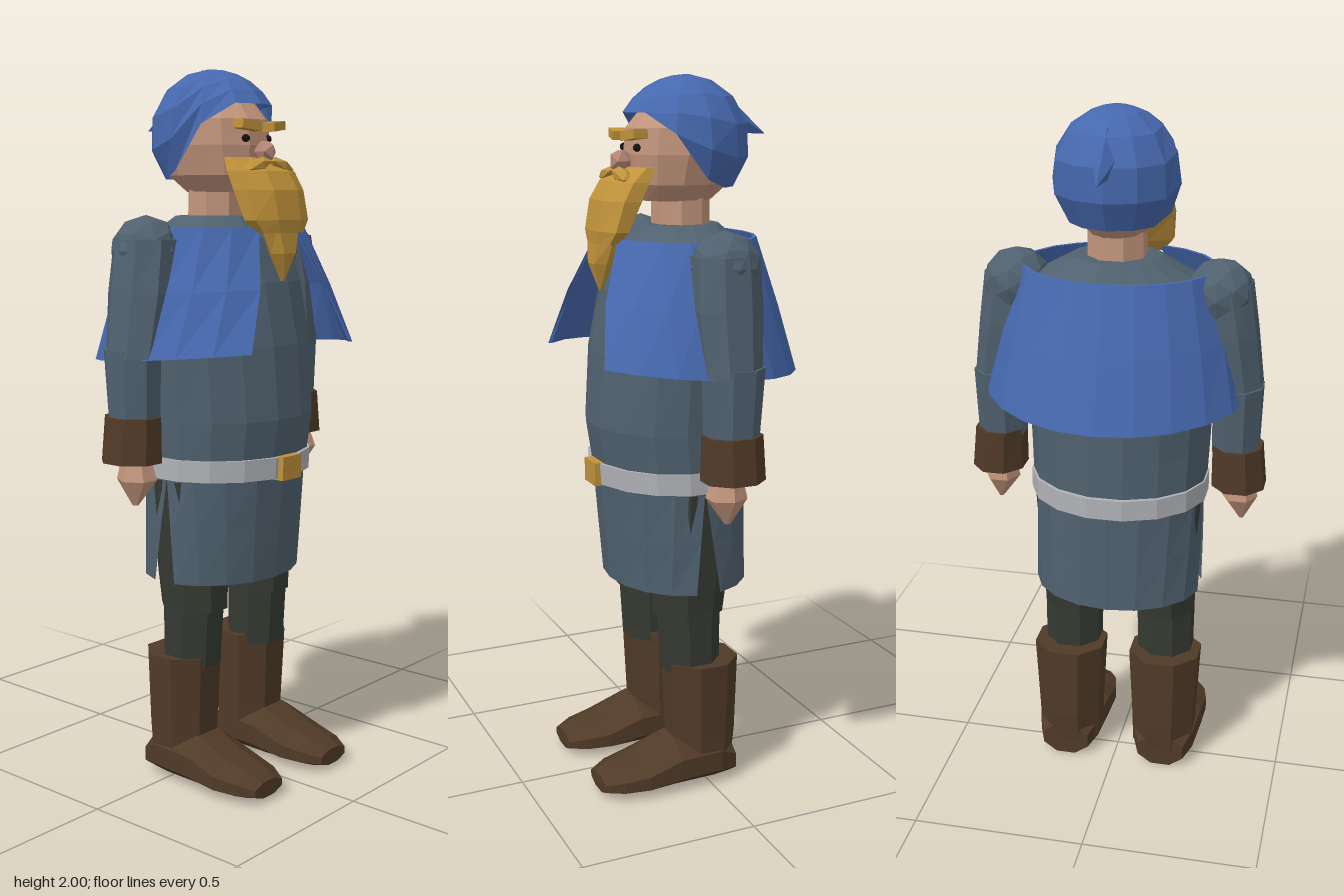
import * as THREE from 'three';

const mat = (name, color, side = THREE.FrontSide) =>
  Object.assign(new THREE.MeshStandardMaterial({ color, flatShading: true, side }), { name });

// One ring of points around the y axis; 'flat' turns a face (not a corner) to the front
function ring(y, rx, rz, cx = 0, cz = 0, n = 8, flat = true) {
  const k = flat ? 1 / Math.cos(Math.PI / n) : 1;
  return Array.from({ length: n }, (_, i) => {
    const a = ((i + (flat ? 0.5 : 0)) / n) * Math.PI * 2;
    return [cx + Math.sin(a) * rx * k, y, cz + Math.cos(a) * rz * k];
  });
}

// Skin a stack of point rows
function loft(rows, { closed = true, caps = true } = {}) {
  const n = rows[0].length, pos = rows.flat(2), idx = [];
  for (let i = 0; i < rows.length - 1; i++)
    for (let j = 0; j < (closed ? n : n - 1); j++) {
      const k = (j + 1) % n, a = i * n + j, b = i * n + k;
      idx.push(a, b, b + n, a, b + n, a + n);
    }
  if (caps && closed) {
    const t = (rows.length - 1) * n;
    for (let j = 1; j < n - 1; j++) idx.push(0, j + 1, j, t, t + j, t + j + 1);
  }
  const g = new THREE.BufferGeometry();
  g.setAttribute('position', new THREE.Float32BufferAttribute(pos, 3));
  g.setIndex(idx);
  const flatG = g.toNonIndexed();
  flatG.computeVertexNormals();
  return flatG;
}

export function createModel() {
  const root = new THREE.Group();
  root.name = 'dwarf';
  const tunic = mat('tunic slate', 0x50616f, THREE.DoubleSide);
  const blue = mat('cape blue', 0x4668ae, THREE.DoubleSide);
  const leather = mat('brown leather', 0x503a28);
  const cloth = mat('dark trousers', 0x363a32);
  const skin = mat('skin', 0xc2957c);
  const noseSkin = mat('nose skin', 0xb98678);
  const gold = mat('golden', 0xc0923a);
  const silver = mat('belt grey', 0xb0b2b6);
  const black = mat('eye black', 0x15120f);

  const add = (name, geo, m, parent = root) => {
    const mesh = new THREE.Mesh(geo, m);
    mesh.name = name;
    parent.add(mesh);
    return mesh;
  };
  const ico = (x, y, z, rx, ry, rz, detail = 1) =>
    new THREE.IcosahedronGeometry(1, detail).scale(rx, ry, rz).translate(x, y, z);
  // ring given by its front and back z
  const span = (y, rx, front, back, n = 16, cx = 0) =>
    ring(y, rx, (front - back) / 2, cx, (front + back) / 2, n);

  // Torso, belt and buckle
  add('torso', loft([
    span(0.88, 0.248, 0.24, -0.178), span(1.05, 0.255, 0.265, -0.175), span(1.25, 0.264, 0.25, -0.175),
    span(1.42, 0.255, 0.215, -0.18), span(1.54, 0.225, 0.165, -0.165), span(1.6, 0.12, 0.1, -0.11),
  ]), tunic);
  add('belt', loft([span(0.885, 0.255, 0.256, -0.19), span(0.945, 0.255, 0.26, -0.19)]), silver);
  add('buckle', new THREE.BoxGeometry(0.08, 0.066, 0.03).translate(0, 0.913, 0.26), gold);

  // Skirt: front and back panels parting at the sides
  for (const [name, mid] of [['skirtFront', 0], ['skirtBack', Math.PI]]) {
    const rows = [0, 0.5, 1].map(t => {
      const half = Math.PI / 2 - 0.18 * (1 - t);
      return Array.from({ length: 9 }, (_, i) => {
        const a = mid + half * (i / 4 - 1);
        return [Math.sin(a) * 0.248, 0.59 + t * 0.3, 0.018 + t * 0.014 + Math.cos(a) * (0.2 + t * 0.012)];
      });
    });
    add(name, loft(rows, { closed: false }), tunic);
  }

  // Cape: a thin cross-section swept around the back, open at the front
  const capeRows = [];
  for (let i = 0; i <= 18; i++) {
    const s = i / 9 - 1;
    const at = (t, inset) => {
      const a = s * THREE.MathUtils.degToRad(163 - 19 * t);
      const f = Math.pow(t, 0.9), back = Math.cos(a);
      return [Math.sin(a) * (0.272 + 0.108 * f - inset),
        1.57 - t * (0.347 + 0.03 * back),
        0.012 + 0.017 * f - back * (0.214 + 0.137 * f - inset)];
    };
    capeRows.push([at(0, 0), at(0.5, 0), at(1, 0), at(1, 0.01), at(0.5, 0.01), at(0, 0.01)]);
  }
  add('cape', loft(capeRows), blue);

  // Limbs, mirrored
  for (const s of [1, -1]) {
    const side = s > 0 ? 'left' : 'right';
    const arm = new THREE.Group();
    arm.name = side + 'Arm';
    const leg = new THREE.Group();
    leg.name = side + 'Leg';
    root.add(arm, leg);

    add('shoulder', ico(s * 0.284, 1.51, -0.005, 0.094, 0.094, 0.098), tunic, arm);
    add('upperArm', loft([ring(1.23, 0.066, 0.08, s * 0.343, 0.005), ring(1.4, 0.072, 0.092, s * 0.316, 0.004),
      ring(1.54, 0.078, 0.088, s * 0.29)]), tunic, arm);
    add('forearm', loft([ring(1.05, 0.064, 0.07, s * 0.34), ring(1.25, 0.068, 0.08, s * 0.342, -0.004)]), tunic, arm);
    add('cuff', loft([ring(0.947, 0.074, 0.083, s * 0.352, 0), ring(1.07, 0.068, 0.078, s * 0.346, 0)]), leather, arm);
    add('hand', loft([ring(0.83, 0.006, 0.008, s * 0.36, 0.02, 6), ring(0.9, 0.045, 0.05, s * 0.353, 0.02, 6),
      ring(0.96, 0.034, 0.035, s * 0.35, 0.015, 6)]), skin, arm);

    add('thigh', loft([ring(0.505, 0.084, 0.094, s * 0.138, 0.035), ring(0.6, 0.088, 0.1, s * 0.14, 0.03),
      ring(0.88, 0.105, 0.11, s * 0.138, 0.025)]), cloth, leg);
    add('shin', loft([ring(0.34, 0.08, 0.078, s * 0.143, 0.03), ring(0.52, 0.082, 0.084, s * 0.142, 0.035)]), cloth, leg);
    add('bootShaft', loft([ring(0.05, 0.092, 0.085, s * 0.147, 0), ring(0.14, 0.093, 0.094, s * 0.147, 0),
      ring(0.37, 0.104, 0.102, s * 0.147, 0.002)]), leather, leg);
    // foot sections [z, half width, bottom, top] lofted from heel to toe
    const foot = [[-0.085, 0.07, 0, 0.1], [-0.03, 0.092, 0, 0.14], [0.1, 0.1, 0, 0.14],
      [0.2, 0.1, 0.002, 0.095], [0.27, 0.085, 0.005, 0.08], [0.32, 0.058, 0.014, 0.06]];
    add('foot', loft(foot.map(([z, w, lo, hi]) => ring(z, w, (hi - lo) / 2, s * 0.15, -(hi + lo) / 2)))
      .rotateX(Math.PI / 2), leather, leg);
  }

  // Neck and head
  add('neck', loft([ring(1.56, 0.078, 0.076, 0, -0.005), ring(1.74, 0.074, 0.074, 0, -0.005)]), skin);
  add('head', loft([
    span(1.665, 0.075, 0.11, -0.09, 12), span(1.71, 0.118, 0.14, -0.14, 12), span(1.79, 0.14, 0.15, -0.17, 12),
    span(1.86, 0.138, 0.142, -0.165, 12), span(1.93, 0.09, 0.085, -0.11, 12),
  ]), skin);

  // Hood: a dome whose rim rises over the face
  const rims = [1.9, 1.9, 1.845, 1.725, 1.7, 1.7, 1.7];
  const n = 12, hoodRows = [0, 0.22, 0.44, 0.64, 0.82, 0.97].map(t =>
    Array.from({ length: n }, (_, i) => {
      const a = (i / n) * Math.PI * 2;
      const end = Math.acos((rims[Math.min(i, n - i)] - 1.82) / 0.18);
      const th = end * (1 - t);
      const front = Math.max(0, Math.cos(a)) * (1 - t) * 0.02;
      return [Math.sin(a) * Math.sin(th) * 0.175, 1.82 + 0.18 * Math.cos(th),
        -0.02 + Math.cos(a) * (Math.sin(th) * 0.178 + front)];
    }));
  add('hood', loft(hoodRows, { caps: false }), blue);
  add('hoodCrown', new THREE.ConeGeometry(0.03, 0.004, 12).translate(0, 1.998, -0.02), blue);
  const point = new THREE.ConeGeometry(0.068, 0.17, 5).scale(0.75, 1, 1);
  point.rotateX(-Math.PI / 2 - 0.35).translate(0, 1.868, -0.186);
  add('hoodPoint', point, blue);

  // Beard, its tip and the moustache
  add('beard', loft([
    ring(1.555, 0.085, 0.03, 0, 0.228), ring(1.59, 0.115, 0.045, 0, 0.215), ring(1.67, 0.122, 0.058, 0, 0.187),
    ring(1.72, 0.118, 0.055, 0, 0.16), ring(1.757, 0.105, 0.03, 0, 0.128),
  ]), gold);
  add('beardTip', loft([ring(1.425, 0.004, 0.004, 0, 0.235, 6), ring(1.5, 0.042, 0.027, 0, 0.235, 6),
    ring(1.58, 0.075, 0.03, 0, 0.225, 6)]), gold);
  for (const s of [1, -1]) {
    const stache = add('moustache', ico(0, 0, 0, 0.052, 0.02, 0.026, 0), gold);
    stache.position.set(s * 0.047, 1.736, 0.187);
    stache.rotation.z = -s * 0.25;
    const brow = add('brow', new THREE.BoxGeometry(0.066, 0.024, 0.045), gold);
    brow.position.set(s * 0.054, 1.842, 0.155);
    brow.rotation.set(0, s * 0.2, s * 0.12);
    add('eye', ico(s * 0.047, 1.808, 0.143, 0.011, 0.011, 0.012), black);
  }
  add('nose', ico(0, 1.772, 0.172, 0.029, 0.034, 0.034, 0), noseSkin);

  return root;
}
